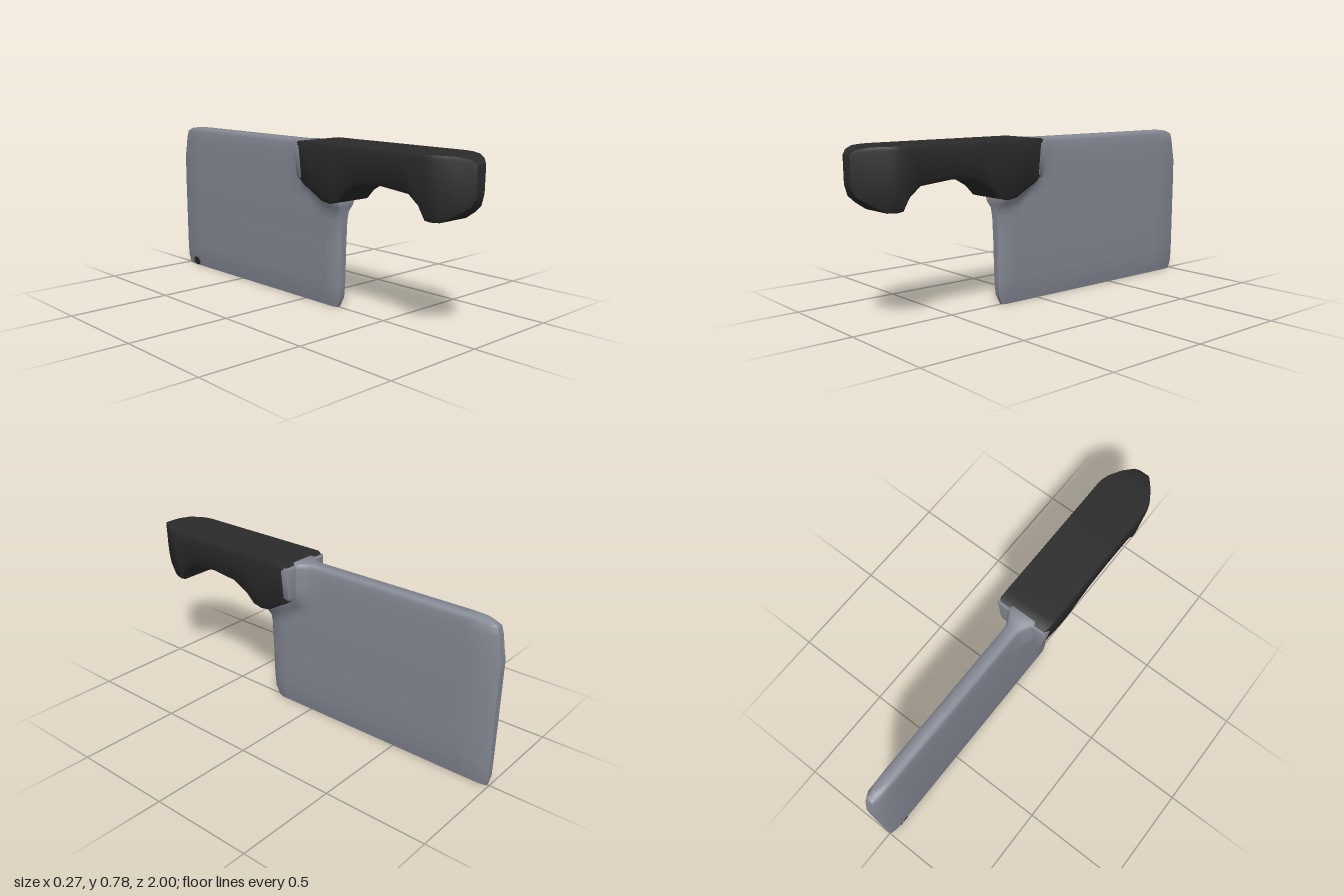
import * as THREE from 'three';
import { toCreasedNormals } from 'three/addons/utils/BufferGeometryUtils.js';

// Skin mirrored rings (point j mirrors point n-1-j) and close both ends
function loft(rings, crease) {
  const n = rings[0].length, last = (rings.length - 1) * n, index = [];
  for (let i = 0; i < rings.length - 1; i++) {
    for (let j = 0; j < n; j++) {
      const a = i * n + j, b = i * n + (j + 1) % n;
      index.push(a, b, b + n, a, b + n, a + n);
    }
  }
  for (let j = 0; j < n / 2 - 1; j++) {
    const a = j, b = j + 1, c = n - 2 - j, d = n - 1 - j;
    index.push(a, c, b, a, d, c);
    index.push(last + a, last + b, last + c, last + a, last + c, last + d);
  }
  const geometry = new THREE.BufferGeometry();
  geometry.setAttribute('position', new THREE.Float32BufferAttribute(rings.flat(2), 3));
  geometry.setIndex(index);
  return toCreasedNormals(geometry, crease);
}

// Handle cross-section: wide at the top, narrower at the bottom
function handleRing([z, bottom, top, w]) {
  const widthAt = (y) => w * (0.78 + 0.22 * (y - 0.51) / 0.27);
  const half = [
    [widthAt(bottom) * 0.9, bottom],
    [widthAt(bottom + 0.02), bottom + 0.02],
    [widthAt(top - 0.015), top - 0.015],
    [widthAt(top) * 0.95, top],
  ];
  return [
    ...half.map(([x, y]) => [x, y, z]),
    ...half.reverse().map(([x, y]) => [-x, y, z]),
  ];
}

// Blade thickness swells where it meets the handle
function flare(y, z) {
  const under = 0.51 + 0.1 * THREE.MathUtils.clamp((0.2 - z) / 0.15, 0, 1);
  const d = Math.hypot(Math.max(0, 0.05 - z), Math.max(0, under - y));
  return 0.04 * Math.pow(Math.max(0, 1 - d / 0.075), 1.4);
}

// Blade cross-section at one height, from the heel to the tip
function bladeRing([y, front, back, w]) {
  const stations = [
    [front, 0.5], [front - 0.025, 1],
    ...[0.15, 0.1, 0.07, 0.05, 0.03, 0.01, -0.02, -0.1, -0.5, -0.84].map((z) => [z, 1]),
    [back + 0.03, 0.9], [back, 0.5],
  ];
  const half = stations.map(([z, k]) => [w * k + flare(y, z), y, z]);
  return [...half, ...half.map(([x, yy, z]) => [-x, yy, z]).reverse()];
}

export function createModel() {
  const steel = new THREE.MeshStandardMaterial({ color: 0x858994 });
  steel.name = 'steel';
  const black = new THREE.MeshStandardMaterial({ color: 0x2b2b2b });
  black.name = 'black grip';
  const group = new THREE.Group();
  group.name = 'cleaver';
  const add = (name, geometry, material) => {
    const mesh = new THREE.Mesh(geometry, material);
    mesh.name = name;
    group.add(mesh);
    return mesh;
  };

  // Blade: height, heel z, tip z, half thickness
  const bladeRows = [
    [0, 0.215, -0.99, 0.016],
    [0.05, 0.238, -1, 0.025],
    [0.12, 0.242, -1, 0.031],
    [0.3, 0.245, -1, 0.034],
    [0.42, 0.25, -1, 0.036],
    [0.46, 0.25, -1, 0.037],
    [0.49, 0.258, -1, 0.037],
    [0.52, 0.258, -1, 0.037],
    [0.56, 0.23, -1, 0.037],
    [0.61, 0.2, -1, 0.037],
    [0.66, 0.2, -0.99, 0.037],
    [0.72, 0.2, -0.98, 0.036],
    [0.755, 0.2, -0.97, 0.033],
    [0.773, 0.2, -0.93, 0.029],
    [0.779, 0.2, -0.88, 0.021],
  ];
  add('blade', loft(bladeRows.map(bladeRing), 0.8), steel);

  // Handle: z, bottom, top, half width
  const handleRows = [
    [0.055, 0.61, 0.772, 0.128],
    [0.075, 0.585, 0.782, 0.134],
    [0.12, 0.56, 0.782, 0.135],
    [0.2, 0.515, 0.782, 0.135],
    [0.25, 0.508, 0.782, 0.135],
    [0.3, 0.52, 0.782, 0.135],
    [0.34, 0.565, 0.782, 0.135],
    [0.42, 0.612, 0.782, 0.135],
    [0.56, 0.628, 0.782, 0.135],
    [0.72, 0.612, 0.782, 0.135],
    [0.77, 0.57, 0.782, 0.135],
    [0.8, 0.512, 0.782, 0.135],
    [0.83, 0.508, 0.782, 0.134],
    [0.87, 0.51, 0.782, 0.121],
    [0.93, 0.545, 0.781, 0.085],
    [0.98, 0.58, 0.77, 0.045],
    [1, 0.625, 0.75, 0.028],
  ];
  add('handle', loft(handleRows.map(handleRing), 0.7), black);

  // Bolster: thin steel collar closing the back of the handle
  const bolsterRows = [
    [0.045, 0.62, 0.762, 0.128],
    [0.052, 0.602, 0.772, 0.136],
    [0.08, 0.595, 0.768, 0.1375],
  ];
  add('bolster', loft(bolsterRows.map(handleRing), 0.6), steel);

  // Small dark spot near the cutting edge, right side only
  const spot = add('edgeSpot', new THREE.CylinderGeometry(0.024, 0.024, 0.006, 14), black);
  spot.rotation.z = Math.PI / 2 + 0.18;
  spot.scale.z = 1.1;
  spot.position.set(-0.02, 0.024, -0.91);

  return group;
}
